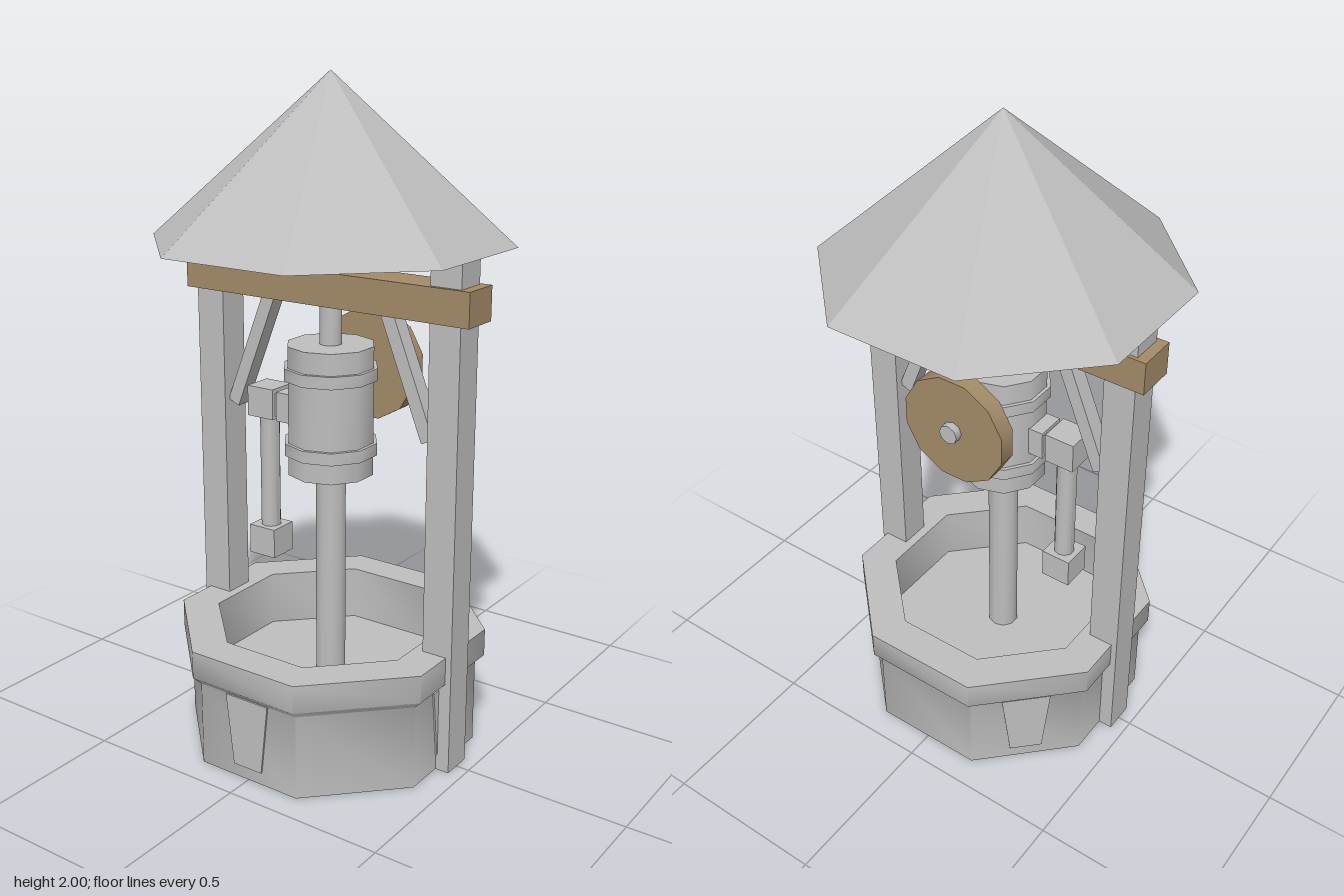
import * as THREE from 'three';
import { toCreasedNormals } from 'three/addons/utils/BufferGeometryUtils.js';

export function createModel() {
  const model = new THREE.Group();
  model.name = 'wellPump';
  const grey = new THREE.MeshStandardMaterial({ color: 0xbebebe, side: THREE.DoubleSide });
  grey.name = 'stoneGrey';
  const brown = new THREE.MeshStandardMaterial({ color: 0xa38b67 });
  brown.name = 'woodBrown';

  const add = (name, geometry, x = 0, y = 0, z = 0, material = grey, parent = model) => {
    const mesh = new THREE.Mesh(geometry, material);
    mesh.name = name;
    mesh.position.set(x, y, z);
    parent.add(mesh);
    return mesh;
  };
  const box = (w, h, d) => new THREE.BoxGeometry(w, h, d);
  // round parts: smooth sides, sharp caps
  const drum = (r, h, sides = 10) =>
    toCreasedNormals(new THREE.CylinderGeometry(r, r, h, sides), 1);
  const flat = (geometry) => toCreasedNormals(geometry, 0.01);

  // Octagonal roof
  add('roof', flat(new THREE.ConeGeometry(0.53, 0.47, 8).rotateY(Math.PI / 8)), 0, 1.765);

  // Basin shell with thick rim and raised floor, open underneath
  const profile = [[0.449, 0], [0.449, 0.26], [0.476, 0.285], [0.476, 0.37],
    [0.36, 0.37], [0.36, 0.2], [0, 0.2]].map(([r, y]) => new THREE.Vector2(r, y));
  add('basin', toCreasedNormals(new THREE.LatheGeometry(profile, 8).rotateY(Math.PI / 8), 1));

  // Tapered plates under the rim
  const plate = new THREE.Shape([[-0.05, 0.04], [0.05, 0.04], [0.075, 0.26], [-0.075, 0.26]]
    .map(([x, y]) => new THREE.Vector2(x, y)));
  const plateGeometry = new THREE.ExtrudeGeometry(plate, { depth: 0.009, bevelEnabled: false });
  plateGeometry.translate(0, 0, 0.411);
  for (const degrees of [0, 90, 225]) {
    add('rimPlate', plateGeometry).rotation.y = THREE.MathUtils.degToRad(degrees);
  }

  // Posts (hollow ended) and diagonal braces
  const postGeometry = flat(new THREE.CylinderGeometry(0.0685, 0.0685, 1.53, 4, 1, true)
    .rotateY(Math.PI / 4));
  for (const side of [-1, 1]) {
    add('post', postGeometry, side * 0.41, 0.765, 0);
    add('brace', box(0.042, 0.385, 0.05), side * 0.276, 1.178, 0)
      .rotation.z = side * 0.38;
  }

  // Wooden crossbeam
  add('crossbeam', box(0.98, 0.1, 0.12), 0, 1.4, 0, brown);

  // Pump body, bands and pipes
  add('pumpBody', drum(0.131, 0.39), 0, 1.035);
  for (const y of [0.92, 1.147]) add('pumpBand', drum(0.142, 0.037), 0, y);
  add('lowerPipe', drum(0.047, 0.66), 0, 0.52);
  add('upperRod', drum(0.034, 0.14), 0, 1.29);

  // Wheel at the back on its axle
  add('wheel', toCreasedNormals(new THREE.CylinderGeometry(0.171, 0.171, 0.054, 12)
    .rotateY(Math.PI / 12).rotateX(Math.PI / 2), 1), 0, 1.127, -0.215, brown);
  add('axle', drum(0.03, 0.165, 8).rotateX(Math.PI / 2), 0, 1.127, -0.183);

  // Side outlet: arm, elbow block, hanging pipe and end block
  const outlet = new THREE.Group();
  outlet.name = 'outlet';
  model.add(outlet);
  add('outletFlange', box(0.06, 0.09, 0.09), -0.138, 1.02, 0, grey, outlet);
  add('outletArm', box(0.03, 0.07, 0.07), -0.175, 1.02, 0, grey, outlet);
  add('outletElbow', box(0.094, 0.094, 0.094), -0.227, 1.023, 0, grey, outlet);
  add('outletPipe', drum(0.031, 0.38), -0.227, 0.8, 0, grey, outlet);
  add('outletEnd', box(0.094, 0.092, 0.094), -0.227, 0.575, 0, grey, outlet);

  return model;
}
